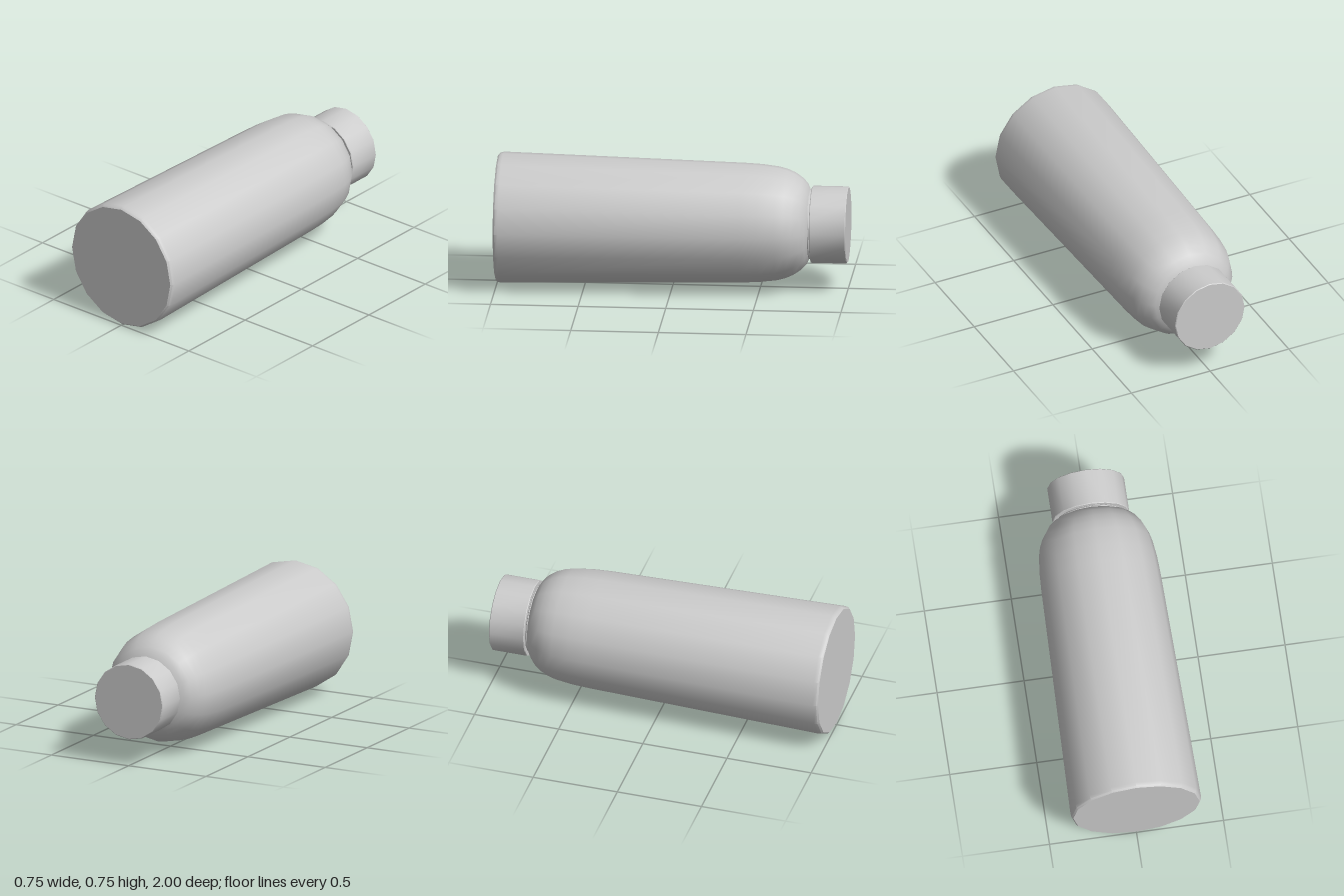
import * as THREE from 'three';
import { toCreasedNormals } from 'three/addons/utils/BufferGeometryUtils.js';

const SIDES = 16;
const AXIS_HEIGHT = 0.377;

// Turned part lying along z: profile pairs are [radius, z], from the base (+z) to the cap (-z)
function turned(name, profile) {
  const points = profile.map(([r, z]) => new THREE.Vector2(r, -z));
  const geometry = new THREE.LatheGeometry(points, SIDES);
  geometry.rotateX(-Math.PI / 2);
  const material = new THREE.MeshStandardMaterial({ color: 0xcccccc });
  const mesh = new THREE.Mesh(toCreasedNormals(geometry, THREE.MathUtils.degToRad(35)), material);
  mesh.name = name;
  mesh.position.y = AXIS_HEIGHT;
  return mesh;
}

export function createModel() {
  const bottle = new THREE.Group();
  bottle.name = 'bottle';

  // Tapered body with a bevelled base and a rounded shoulder
  bottle.add(turned('body', [
    [0, 1], [0.363, 1], [0.372, 0.99], [0.375, 0.97],
    [0.343, -0.4], [0.338, -0.5], [0.326, -0.6], [0.313, -0.65],
    [0.293, -0.695], [0.263, -0.738], [0.233, -0.765], [0.2, -0.78],
  ]));

  // Short neck between shoulder and cap
  bottle.add(turned('neck', [[0.2, -0.775], [0.2, -0.785], [0.195, -0.79], [0.195, -0.82]]));

  // Screw cap
  bottle.add(turned('cap', [
    [0, -0.792], [0.218, -0.792], [0.221, -0.796], [0.221, -0.996], [0.217, -1], [0, -1],
  ]));

  return bottle;
}
